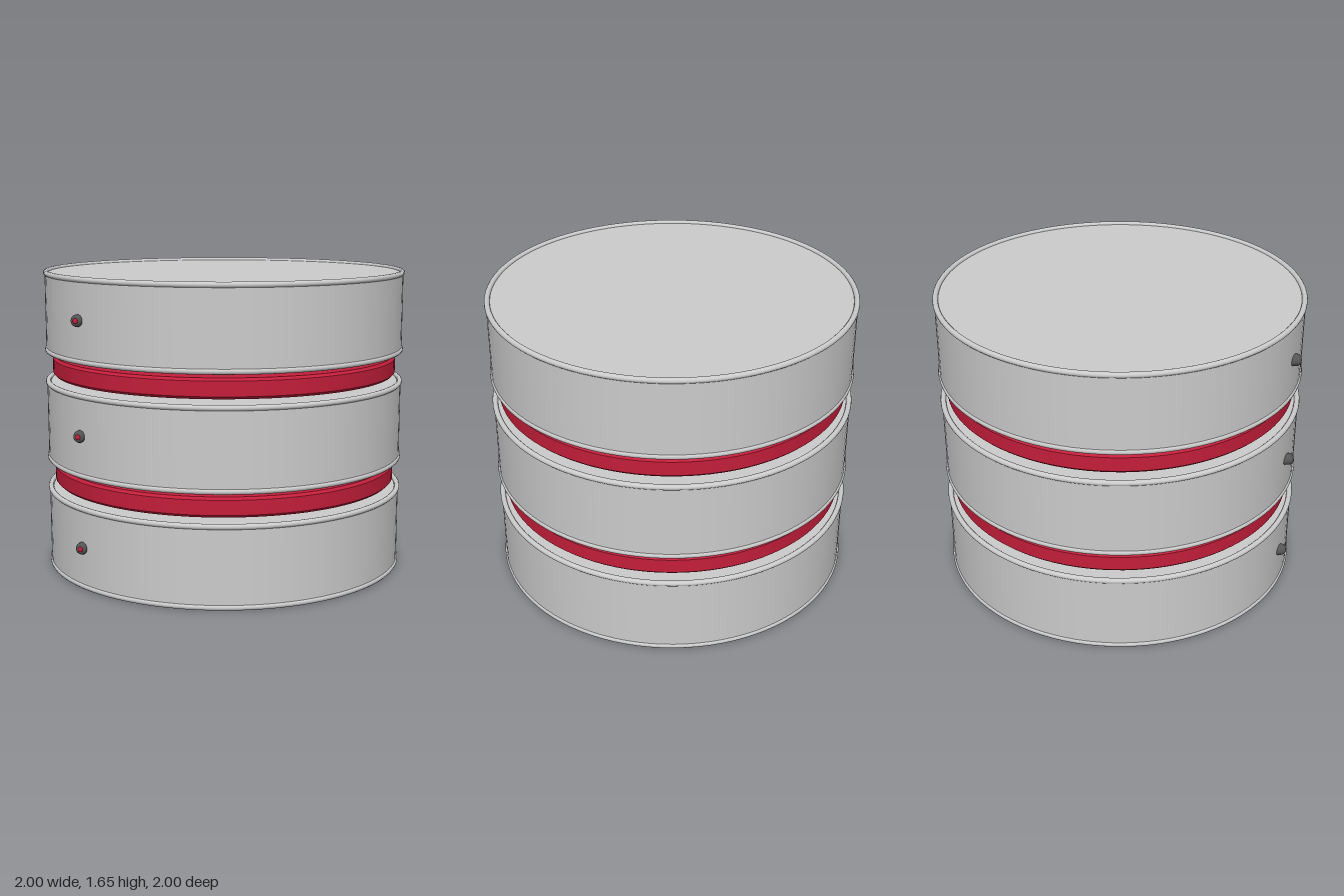
import * as THREE from 'three';

const grey = new THREE.MeshStandardMaterial({ color: 0xcccccc });
const dark = new THREE.MeshStandardMaterial({ color: 0x555555 });
const red = new THREE.MeshStandardMaterial({ color: 0xc41e3a });

const SEGMENTS = 96;
const DRUM_HEIGHT = 0.45;
const SPACING = 0.6;
const RIM = 0.015;

function part(name, geometry, material, x = 0, y = 0, z = 0) {
  const mesh = new THREE.Mesh(geometry, material);
  mesh.name = name;
  mesh.position.set(x, y, z);
  return mesh;
}

// Small status light: dark tapered bezel with a red lens, facing forward
function createLight() {
  const light = new THREE.Group();
  light.name = 'statusLight';
  const profile = [[0.032, -0.03], [0.032, 0.008], [0.027, 0.02], [0.018, 0.027], [0.014, 0.024], [0, 0.024]]
    .map(([r, y]) => new THREE.Vector2(r, y));
  const bezel = new THREE.LatheGeometry(profile, 20).rotateX(Math.PI / 2);
  const lens = new THREE.SphereGeometry(0.014, 16, 10).scale(1, 1, 0.4);
  light.add(part('bezel', bezel, dark), part('lens', lens, red, 0, 0, 0.024));
  light.position.set(-0.5, DRUM_HEIGHT / 2 + 0.003, 0.866);
  return light;
}

// Drum: plain cylinder with a rounded rim around both ends
function createDrum() {
  const drum = new THREE.Group();
  drum.name = 'drum';
  const body = new THREE.CylinderGeometry(0.992, 0.992, DRUM_HEIGHT - 2 * RIM, SEGMENTS);
  drum.add(part('body', body, grey, 0, DRUM_HEIGHT / 2, 0));
  for (const [name, y] of [['bottomRim', RIM], ['topRim', DRUM_HEIGHT - RIM]]) {
    const rim = new THREE.TorusGeometry(1 - RIM, RIM, 12, SEGMENTS).rotateX(Math.PI / 2);
    drum.add(part(name, rim, grey, 0, y, 0));
  }
  drum.add(createLight());
  return drum;
}

// Red spacer disc with chamfered edges, each band kept crisp
function createSpacer() {
  const spacer = new THREE.Group();
  spacer.name = 'spacerDisc';
  const radius = 0.958, half = 0.053, chamfer = 0.014;
  const wall = 2 * (half - chamfer);
  spacer.add(part('wall', new THREE.CylinderGeometry(radius, radius, wall, SEGMENTS, 1, true), red));
  const edge = new THREE.CylinderGeometry(radius - chamfer, radius, chamfer, SEGMENTS);
  const upper = part('upperChamfer', edge, red, 0, half - chamfer / 2, 0);
  const lower = part('lowerChamfer', edge, red, 0, -half + chamfer / 2, 0);
  lower.rotation.x = Math.PI;
  spacer.add(upper, lower);
  return spacer;
}

export function createModel() {
  const model = new THREE.Group();
  model.name = 'stackedDrums';
  for (let i = 0; i < 3; i++) {
    const drum = createDrum();
    drum.position.y = i * SPACING;
    model.add(drum);
    if (i < 2) {
      const spacer = createSpacer();
      spacer.position.y = i * SPACING + (DRUM_HEIGHT + SPACING) / 2;
      model.add(spacer);
    }
  }
  return model;
}
